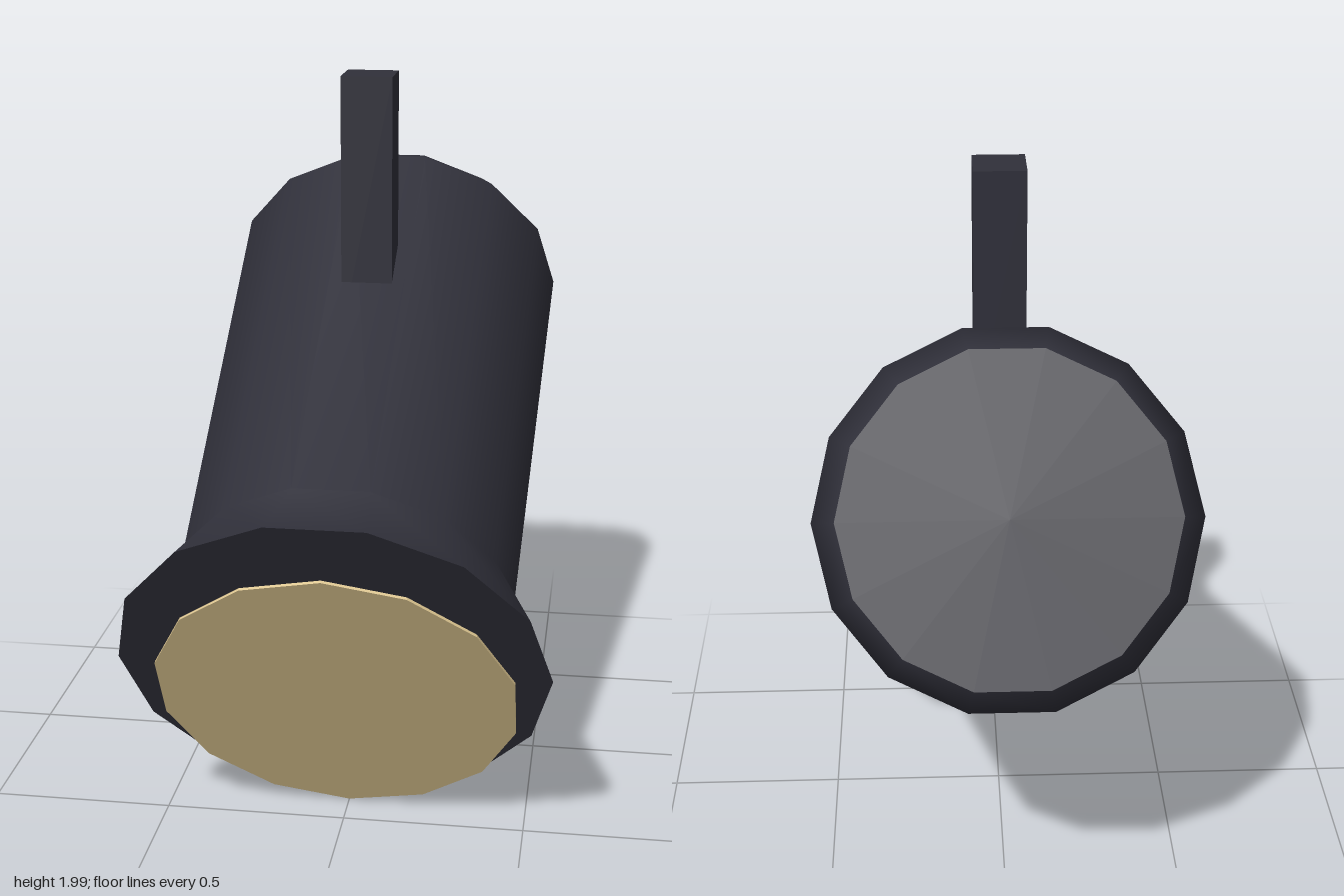
import * as THREE from 'three';

const SIDES = 14;

export function createModel() {
  const charcoal = new THREE.MeshStandardMaterial({ color: 0x30303a });
  charcoal.name = 'charcoal';
  const warmGlass = new THREE.MeshStandardMaterial({ color: 0xdcc590 });
  warmGlass.name = 'warmGlass';

  const model = new THREE.Group();
  model.name = 'spotlight';

  // Tilted lamp head: its local +y is the beam direction, local +z points down
  const head = new THREE.Group();
  head.name = 'lampHead';
  head.position.set(0, 0.548, 0.677);
  head.rotation.x = Math.PI / 2 + 0.5;
  model.add(head);

  // Profile points are [radius, position along the beam], listed back to front
  const addTurned = (name, profile) => {
    const points = profile.map(([r, y]) => new THREE.Vector2(r, y));
    const mesh = new THREE.Mesh(new THREE.LatheGeometry(points, SIDES, Math.PI / SIDES), charcoal);
    mesh.name = name;
    head.add(mesh);
  };

  // Smooth housing with a bevelled back and flared front, closed by flat ends
  addTurned('housing', [[0.431, -1.613], [0.493, -1.528], [0.457, -0.23], [0.575, 0]]);
  addTurned('backCap', [[0, -1.613], [0.431, -1.613]]);
  addTurned('frontRim', [[0.575, 0], [0, 0]]);

  // Lens disc, set low on the front rim
  const lensGeometry = new THREE.CylinderGeometry(0.49, 0.49, 0.052, SIDES).toNonIndexed();
  lensGeometry.computeVertexNormals();
  const lens = new THREE.Mesh(lensGeometry, warmGlass);
  lens.name = 'lens';
  lens.position.set(0, -0.018, 0.122);
  head.add(lens);

  // Upright mounting stem, sunk into the housing
  const stem = new THREE.Mesh(new THREE.BoxGeometry(0.142, 0.72, 0.14), charcoal);
  stem.name = 'mountingStem';
  stem.position.set(0, 1.64, -0.034);
  model.add(stem);

  return model;
}
